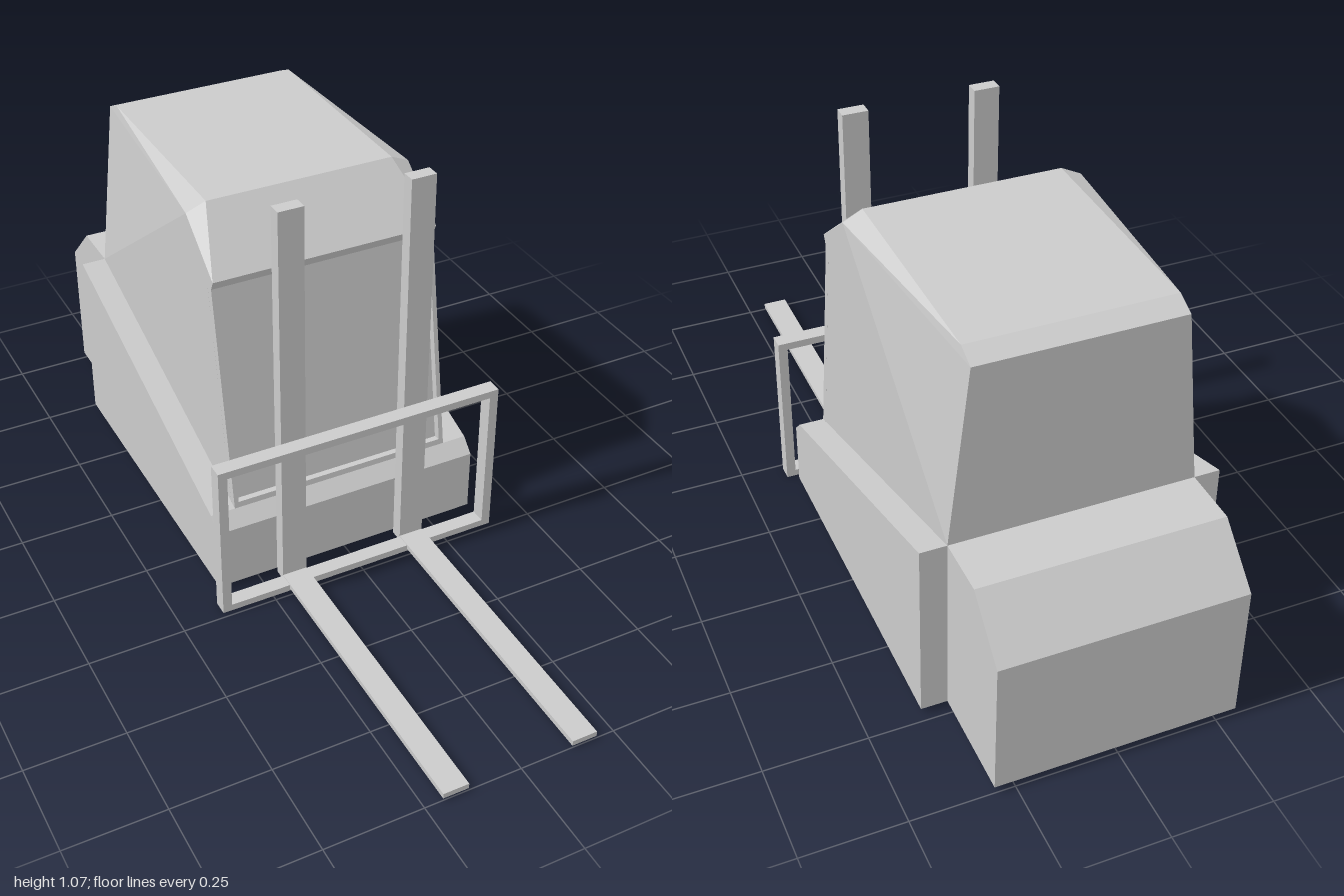
import * as THREE from 'three';
import { ConvexGeometry } from 'three/addons/geometries/ConvexGeometry.js';

const material = new THREE.MeshStandardMaterial({ color: 0xcccccc, flatShading: true });

function add(parent, name, geometry) {
  const mesh = new THREE.Mesh(geometry, material);
  mesh.name = name;
  parent.add(mesh);
  return mesh;
}

// Box from its minimum and maximum corners
function box(x0, x1, y0, y1, z0, z1) {
  return new THREE.BoxGeometry(x1 - x0, y1 - y0, z1 - z0)
    .translate((x0 + x1) / 2, (y0 + y1) / 2, (z0 + z1) / 2);
}

// Side profile of [z, y] points, extruded across the width
function sideExtrude(profile, halfWidth) {
  const shape = new THREE.Shape(profile.map(([z, y]) => new THREE.Vector2(z, y)));
  return new THREE.ExtrudeGeometry(shape, { depth: halfWidth * 2, bevelEnabled: false })
    .translate(0, 0, -halfWidth)
    .rotateY(-Math.PI / 2);
}

// Convex solid from [x, y, z] corners mirrored across x = 0
function mirroredHull(corners) {
  return new ConvexGeometry(corners.flatMap(([x, y, z]) =>
    [new THREE.Vector3(x, y, z), new THREE.Vector3(-x, y, z)]));
}

// Rectangular frame in the XY plane, front face at z = 0
function rectFrame(outer, inner, depth) {
  const corners = ([x, y0, y1]) => [[-x, y0], [x, y0], [x, y1], [-x, y1]]
    .map(([a, b]) => new THREE.Vector2(a, b));
  const shape = new THREE.Shape(corners(outer));
  shape.holes.push(new THREE.Path(corners(inner).reverse()));
  return new THREE.ExtrudeGeometry(shape, { depth, bevelEnabled: false }).translate(0, 0, -depth);
}

export function createModel() {
  const model = new THREE.Group();
  model.name = 'forklift';

  // Wedge-shaped chassis and rear counterweight
  add(model, 'chassis', sideExtrude(
    [[0.16, 0.02], [0.16, 0.19], [0.125, 0.225], [-0.73, 0.495], [-0.73, 0.02]], 0.365));
  add(model, 'counterweight', sideExtrude(
    [[-0.73, 0.02], [-0.73, 0.495], [-0.875, 0.495], [-1, 0.375], [-1, 0.02]], 0.3));

  // Cab: body set back behind the windscreen frame, narrowing towards the rear top
  const cab = new THREE.Group();
  cab.name = 'cab';
  model.add(cab);
  add(cab, 'cabBody', mirroredHull([
    [0.3, 0.222, 0.105], [0.3, 0.812, 0.01], [0.3, 0.95, -0.105],
    [0.25, 0.95, -0.73], [0.3, 0.495, -0.73], [0.3, 0.222, -0.73],
  ]));

  // Chamfered roof with an overhanging front lip
  add(cab, 'roof', mirroredHull([
    [0.3, 0.812, 0.01], [0.3, 0.812, 0.03], [0.3, 0.95, -0.105], [0.25, 0.95, -0.73],
    [0.3, 0.837, 0.042], [0.25, 0.973, -0.1], [0.25, 0.973, -0.68],
  ]));

  // Sloping windscreen surround
  const surround = add(cab, 'windscreenFrame',
    rectFrame([0.3, 0, 0.598], [0.288, 0.015, 0.574], 0.02));
  surround.position.set(0, 0.225, 0.125);
  surround.rotation.x = -Math.atan2(0.095, 0.59);

  // Load carriage
  const carriage = add(model, 'carriageFrame',
    rectFrame([0.388, 0.002, 0.438], [0.364, 0.02, 0.418], 0.04));
  carriage.position.z = 0.235;

  // Mast uprights and forks
  for (const side of [1, -1]) {
    const sideName = side > 0 ? 'left' : 'right';
    const x = side * 0.17;
    add(model, sideName + 'MastUpright', box(x - 0.033, x + 0.033, 0.008, 1.076, 0.16, 0.195));
    add(model, sideName + 'Fork', box(x - 0.033, x + 0.033, 0.008, 0.022, 0.195, 1));
  }

  return model;
}
